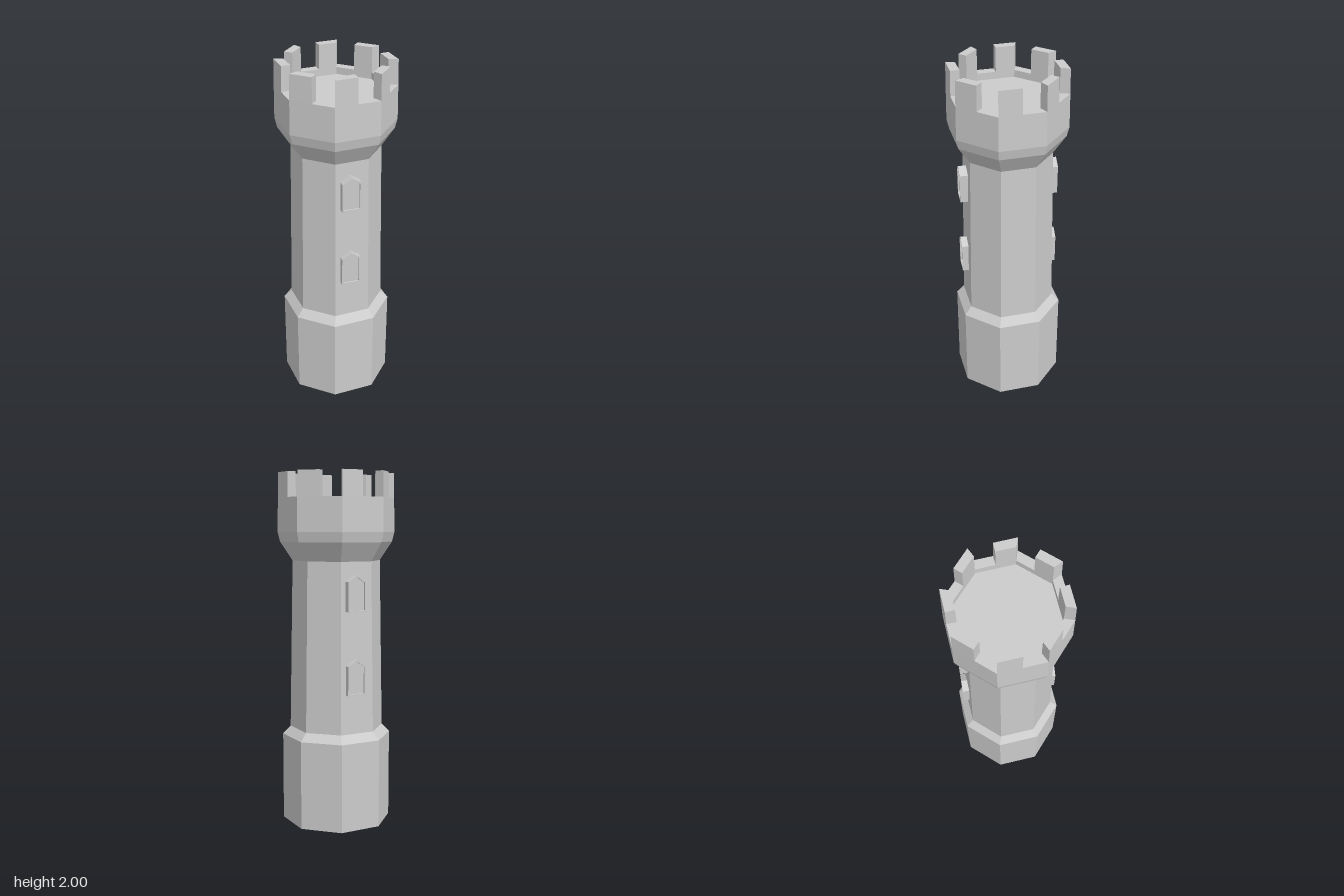
import * as THREE from 'three';

const SIDES = 8;
const STEP = (Math.PI * 2) / SIDES;
const TURN = THREE.MathUtils.degToRad(26.7); // twist of the octagon about y
const INNER = 0.274; // inside radius of the parapet
const RIM = 1.86, TOP = 2;

const material = new THREE.MeshStandardMaterial({ color: 0xcccccc, flatShading: true });

function addMesh(parent, name, geometry) {
  const mesh = new THREE.Mesh(geometry, material);
  mesh.name = name;
  parent.add(mesh);
  return mesh;
}

function lathe(profile) {
  return new THREE.LatheGeometry(profile.map(([r, y]) => new THREE.Vector2(r, y)), SIDES, TURN);
}

const corner = (i, r) =>
  new THREE.Vector3(r * Math.sin(TURN + i * STEP), 0, r * Math.cos(TURN + i * STEP));

// Battlement block from one corner of the octagon to the middle of the next side
function merlonGeometry(i) {
  const geometry = new THREE.BoxGeometry(1, 1, 1);
  const pos = geometry.attributes.position;
  for (let v = 0; v < pos.count; v++) {
    const upper = pos.getY(v) > 0;
    const r = pos.getZ(v) > 0 ? (upper ? 0.327 : 0.33) : INNER;
    const p = corner(i, r);
    if (pos.getX(v) > 0) p.lerp(corner(i + 1, r), 0.5);
    pos.setXYZ(v, p.x, upper ? TOP : RIM, p.z);
  }
  geometry.computeVertexNormals();
  return geometry;
}

// Pointed outline, inset evenly from the outer edge
function trace(path, inset) {
  const w = 0.054 - inset;
  path.moveTo(-w, inset);
  path.lineTo(w, inset);
  path.lineTo(w, 0.165 - inset * 0.6);
  path.lineTo(0, 0.2 - inset * 1.2);
  path.lineTo(-w, 0.165 - inset * 0.6);
  path.closePath();
  return path;
}

function createWindow(y) {
  const group = new THREE.Group();
  group.name = 'window';
  const frame = trace(new THREE.Shape(), 0);
  frame.holes.push(trace(new THREE.Path(), 0.009));
  const frameMesh = addMesh(group, 'windowFrame',
    new THREE.ExtrudeGeometry(frame, { depth: 0.065, bevelEnabled: false }));
  const panelMesh = addMesh(group, 'windowPanel',
    new THREE.ExtrudeGeometry(trace(new THREE.Shape(), 0.009), { depth: 0.055, bevelEnabled: false }));
  frameMesh.position.z = panelMesh.position.z = 0.21;
  group.position.set(0.004, y, 0);
  return group;
}

export function createModel() {
  const tower = new THREE.Group();
  tower.name = 'tower';

  // Plinth with sloping ledge
  addMesh(tower, 'base', lathe([[0, 0], [0.312, 0], [0.312, 0.505], [0.268, 0.55]]));

  // Tapering shaft
  addMesh(tower, 'shaft', lathe([[0.268, 0.55], [0.25, 1.51]]));

  // Flared crown, parapet wall and sunken floor
  addMesh(tower, 'crown', lathe([
    [0.25, 1.51], [0.32, 1.615], [0.333, 1.67], [0.33, RIM],
    [INNER, RIM], [INNER, 1.82], [0, 1.82],
  ]));

  // Battlements
  const battlements = new THREE.Group();
  battlements.name = 'battlements';
  for (let i = 0; i < SIDES; i++) addMesh(battlements, 'merlon', merlonGeometry(i));
  tower.add(battlements);

  // Two windows on the front and two on the back
  for (const angle of [0, Math.PI]) {
    const side = new THREE.Group();
    side.name = angle ? 'backWindows' : 'frontWindows';
    side.add(createWindow(0.772), createWindow(1.237));
    side.rotation.y = angle;
    tower.add(side);
  }

  return tower;
}
